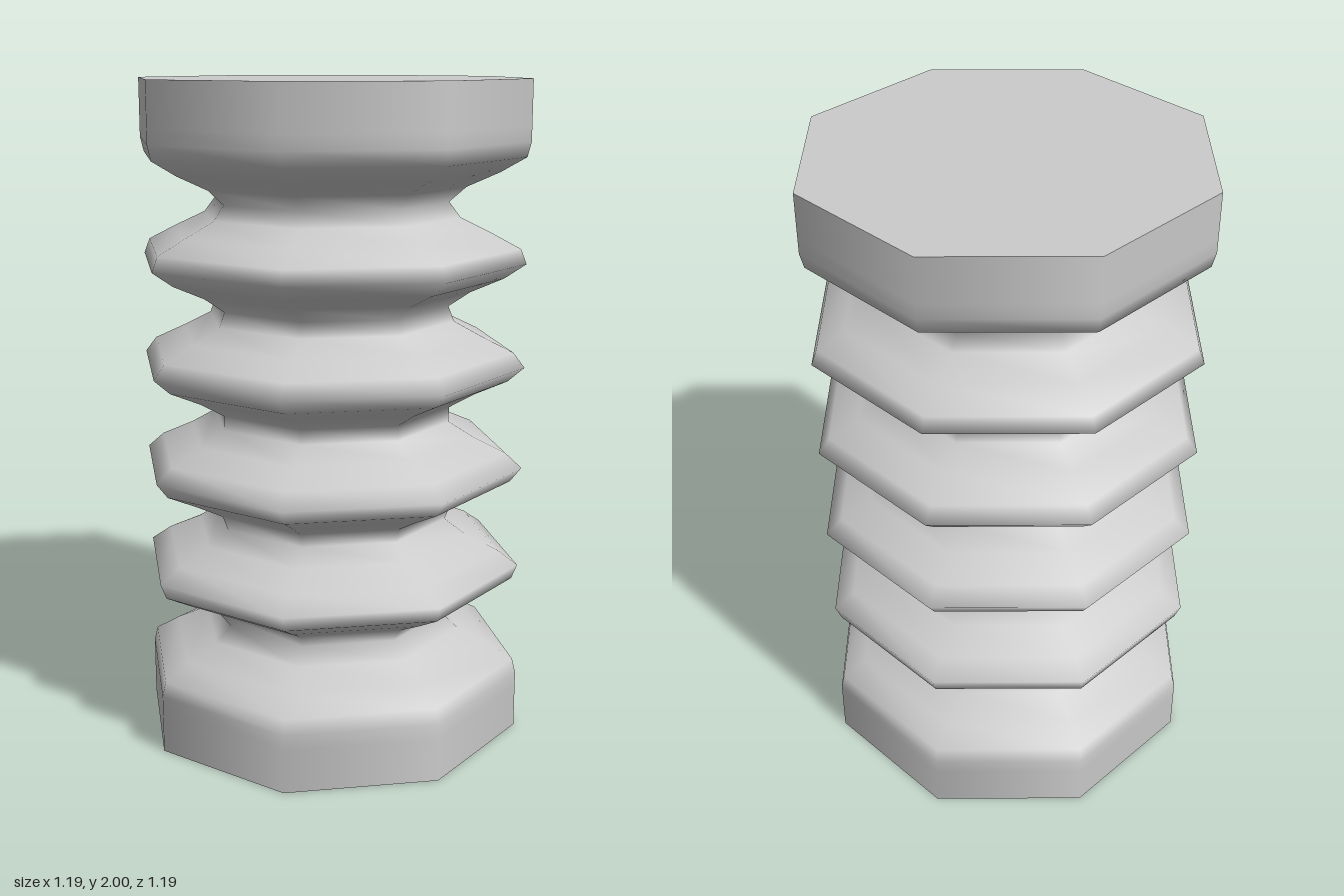
import * as THREE from 'three';

const SIDES = 8;
const HEIGHT = 2;
const ROWS = 45;
const OUTER = 0.597;
const NECK = 0.36;
const CUFF = 0.2; // height of the straight cuff at each end
const FOLDS = 5;

// Radius of the bellows: straight cuffs with cosine folds between them
function radiusAt(y) {
  if (y <= CUFF || y >= HEIGHT - CUFF) return OUTER;
  const t = (y - CUFF) / (HEIGHT - 2 * CUFF);
  return (OUTER + NECK) / 2 + ((OUTER - NECK) / 2) * Math.cos(t * FOLDS * Math.PI * 2);
}

export function createModel() {
  const group = new THREE.Group();
  group.name = 'bellows';
  const material = new THREE.MeshStandardMaterial({ color: 0xcccccc });

  // Pleated eight-sided wall, smooth shaded
  const profile = [];
  for (let i = 0; i <= ROWS; i++) {
    const y = (i / ROWS) * HEIGHT;
    profile.push(new THREE.Vector2(radiusAt(y), y));
  }
  const wall = new THREE.Mesh(new THREE.LatheGeometry(profile, SIDES), material);
  wall.name = 'pleatedWall';
  group.add(wall);

  // Flat end caps with sharp rims
  for (const [name, y, tilt] of [['topCap', HEIGHT, -Math.PI / 2], ['bottomCap', 0, Math.PI / 2]]) {
    const cap = new THREE.Mesh(new THREE.CircleGeometry(OUTER, SIDES), material);
    cap.name = name;
    cap.rotation.x = tilt;
    cap.position.y = y;
    group.add(cap);
  }
  return group;
}
